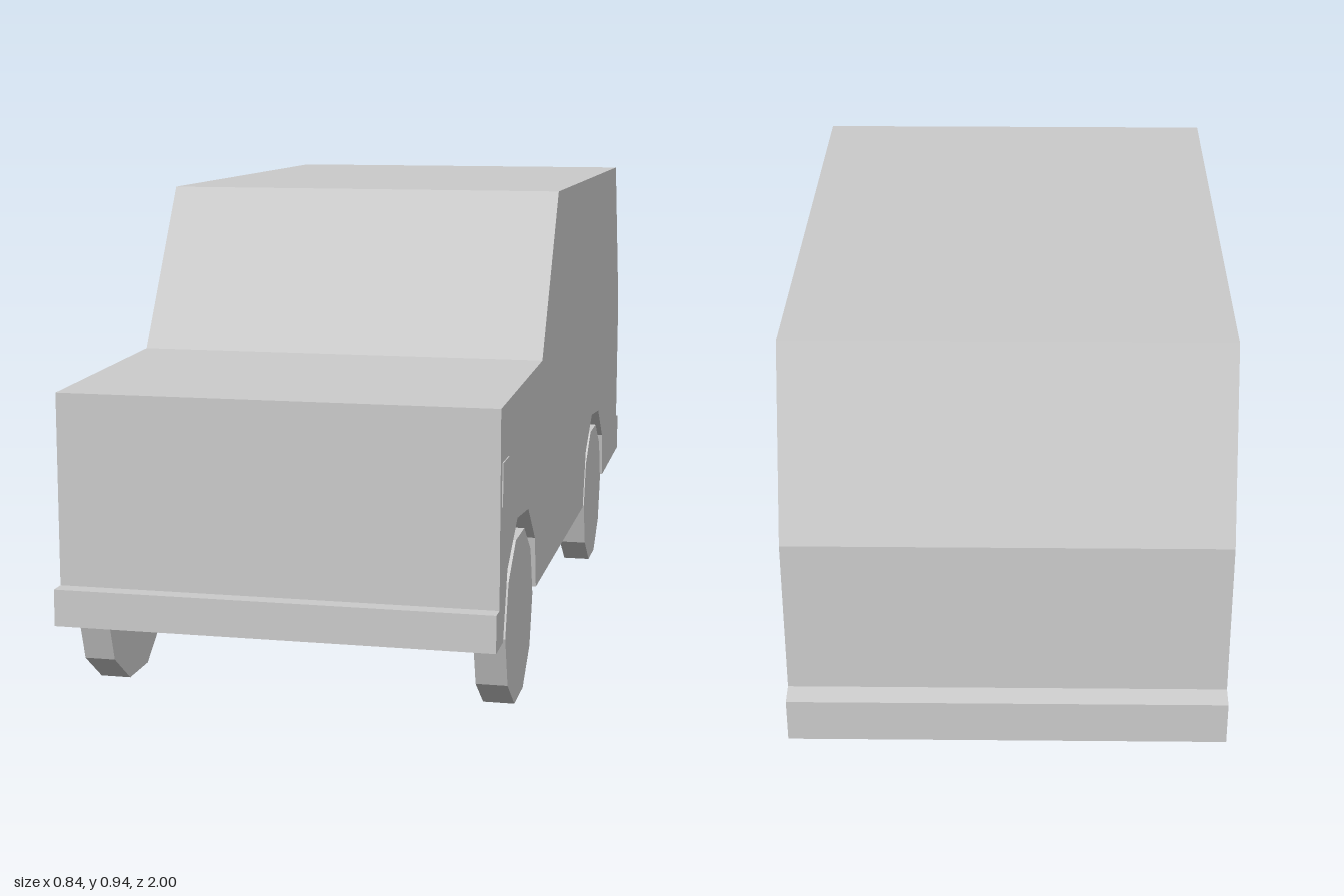
import * as THREE from 'three';

const WIDTH = 0.832;

export function createModel() {
  const model = new THREE.Group();
  model.name = 'car';
  const grey = new THREE.MeshStandardMaterial({ color: 0xcccccc, flatShading: true });

  const add = (name, geometry, x = 0, y = 0, z = 0) => {
    const mesh = new THREE.Mesh(geometry, grey);
    mesh.name = name;
    mesh.position.set(x, y, z);
    model.add(mesh);
    return mesh;
  };

  // Faceted wheel arch, as [z, y] from back to front around the axle
  const arch = (axle) => [
    [-0.2, 0.165], [-0.18, 0.27], [-0.087, 0.349],
    [0.048, 0.361], [0.162, 0.29], [0.205, 0.165],
  ].map(([z, y]) => [axle + z, y]);
  const axles = { front: 0.72, rear: -0.445 };

  // Side outline of the body with bumpers, extruded across the full width
  const outline = [
    [-0.997, 0.17], ...arch(axles.rear), ...arch(axles.front),
    [1, 0.165], [1, 0.235], [0.967, 0.235], [0.967, 0.6],   // front bumper, grille
    [0.465, 0.615], [0.255, 0.94],                          // bonnet, windscreen
    [-0.845, 0.94], [-0.963, 0.58],                         // roof, rear window
    [-0.96, 0.265], [-1, 0.258],                            // tailgate, rear bumper
  ].map(([z, y]) => new THREE.Vector2(z, y));
  const body = new THREE.ExtrudeGeometry(new THREE.Shape(outline), {
    depth: WIDTH, bevelEnabled: false,
  });
  body.rotateY(-Math.PI / 2).translate(WIDTH / 2, 0, 0);
  add('body', body);

  // Ten-sided wheels standing on a flat facet
  const wheel = new THREE.CylinderGeometry(0.167, 0.167, 0.06, 10).rotateZ(Math.PI / 2);
  // Thin marker plates on the front wings
  const marker = new THREE.BoxGeometry(0.004, 0.08, 0.07);

  for (const [side, s] of [['left', 1], ['right', -1]]) {
    for (const [end, z] of Object.entries(axles)) {
      add(`${end} ${side} wheel`, wheel, s * 0.384, 0.16, z);
    }
    add(`${side} side marker`, marker, s * WIDTH / 2, 0.46, 0.915);
  }
  return model;
}
